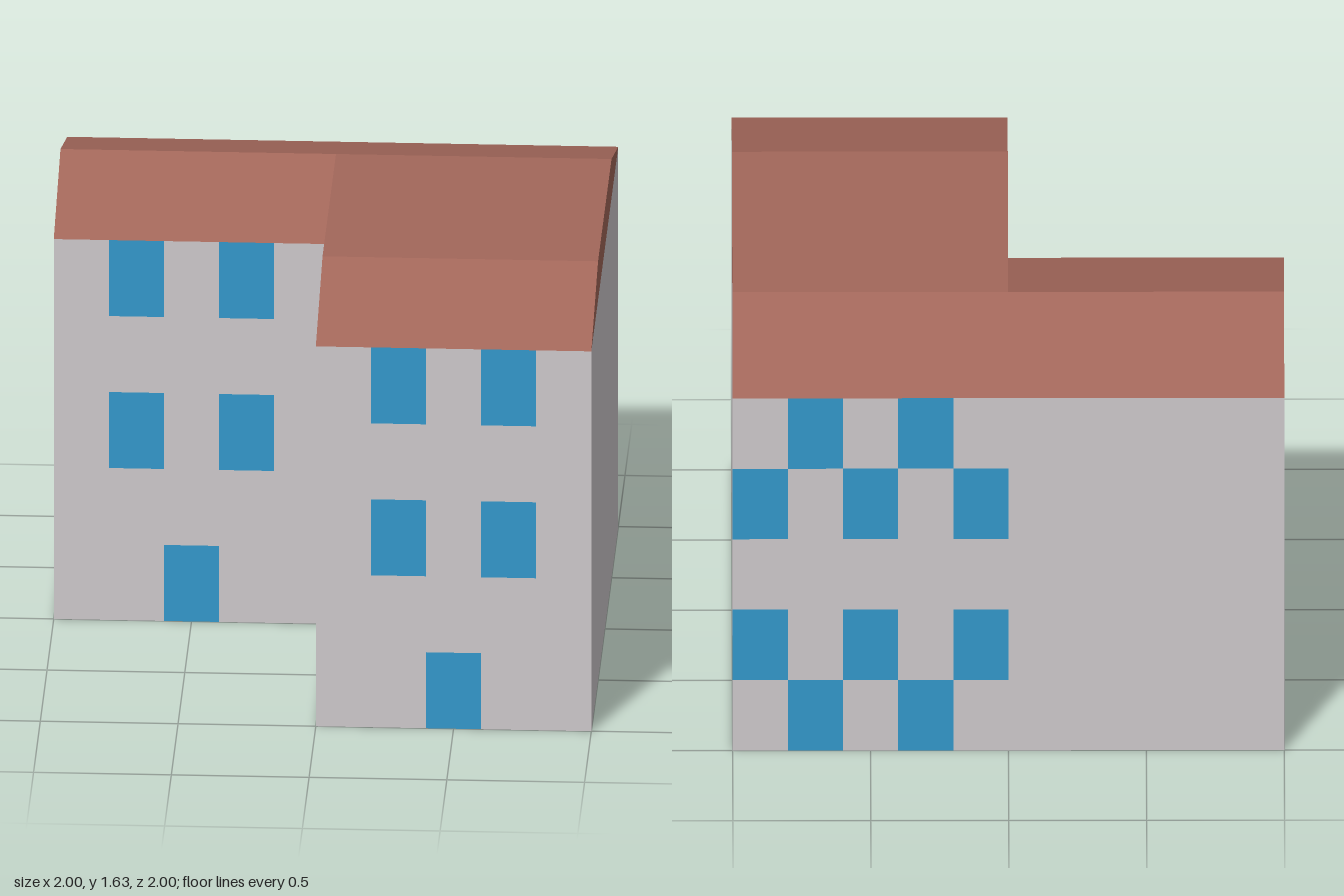
import * as THREE from 'three';
import { mergeGeometries } from 'three/addons/utils/BufferGeometryUtils.js';

const EAVE = 1.483, RIDGE = 1.635, CELL = 0.2, ROW = EAVE / 5;

const material = (color) => new THREE.MeshStandardMaterial({ color, side: THREE.DoubleSide, flatShading: true });

export function createModel() {
  const model = new THREE.Group();
  const wallMat = material(0xcfcacd), glassMat = material(0x3399cc), roofMat = material(0xa3675a);

  const add = (name, geometry, mat, parent = model) => {
    const mesh = new THREE.Mesh(geometry, mat);
    mesh.name = name;
    parent.add(mesh);
    return mesh;
  };

  // Wall of unit width split into 5 x 5 panels; '#' is glass, '.' is wall, top row first
  const panelWall = (name, rows, x, z, turn) => {
    const wall = [], glass = [];
    rows.forEach((row, r) => [...row].forEach((c, i) => {
      const panel = new THREE.PlaneGeometry(CELL, ROW);
      panel.translate((i - 2) * CELL, (4.5 - r) * ROW, 0);
      (c === '#' ? glass : wall).push(panel);
    }));
    const group = new THREE.Group();
    group.name = name;
    group.position.set(x, 0, z);
    group.rotation.y = turn;
    add(name + 'Panels', mergeGeometries(wall), wallMat, group);
    add(name + 'Windows', mergeGeometries(glass), glassMat, group);
    model.add(group);
  };

  const plainWall = (name, length, x, z, turn) => {
    const mesh = add(name, new THREE.PlaneGeometry(length, EAVE), wallMat);
    mesh.position.set(x, EAVE / 2, z);
    mesh.rotation.y = turn;
  };

  // Windowed walls
  const front = ['.#.#.', '.....', '.#.#.', '.....', '..#..'];
  const back = ['.#.#.', '#.#.#', '.....', '#.#.#', '.#.#.'];
  panelWall('frontWall', front, 0.5, 1, 0);
  panelWall('sideWingFrontWall', front, -0.5, 0, 0);
  panelWall('backWall', back, 0.5, -1, Math.PI);

  // Plain walls
  plainWall('sideWingBackWall', 1, -0.5, -1, Math.PI);
  plainWall('leftWall', 2, 1, 0, Math.PI / 2);
  plainWall('sideWingEndWall', 1, -1, -0.5, -Math.PI / 2);
  plainWall('courtWall', 1, 0, 0.5, -Math.PI / 2);

  // Roof slopes: a [z, y] profile, front to back, swept from x0 to x1
  const roof = (name, x0, x1, profile) => {
    const positions = [];
    for (let i = 0; i < profile.length - 1; i++) {
      const [za, ya] = profile[i], [zb, yb] = profile[i + 1];
      positions.push(x0, ya, za, x1, ya, za, x1, yb, zb, x0, ya, za, x1, yb, zb, x0, yb, zb);
    }
    const geometry = new THREE.BufferGeometry();
    geometry.setAttribute('position', new THREE.Float32BufferAttribute(positions, 3));
    geometry.computeVertexNormals();
    add(name, geometry, roofMat);
  };

  // Upright roof end at x, facing +x (side 1) or -x (side -1)
  const gable = (name, x, side, profile) => {
    const shape = new THREE.Shape(profile.map(([z, y]) => new THREE.Vector2(-side * z, y)));
    add(name, new THREE.ShapeGeometry(shape).rotateY(side * Math.PI / 2).translate(x, 0, 0), roofMat);
  };

  const main = [[1, EAVE], [0.5, RIDGE], [-0.5, RIDGE], [-1, EAVE]];
  const wing = [[0, EAVE], [-0.5, RIDGE], [-1, EAVE]];
  roof('mainRoof', 0, 1, main);
  roof('sideWingRoof', -1, 0, wing);
  gable('mainGable', 1, 1, main);
  gable('courtGable', 0, -1, [main[0], main[1], main[2], wing[0]]);
  gable('sideWingGable', -1, -1, wing);

  return model;
}
